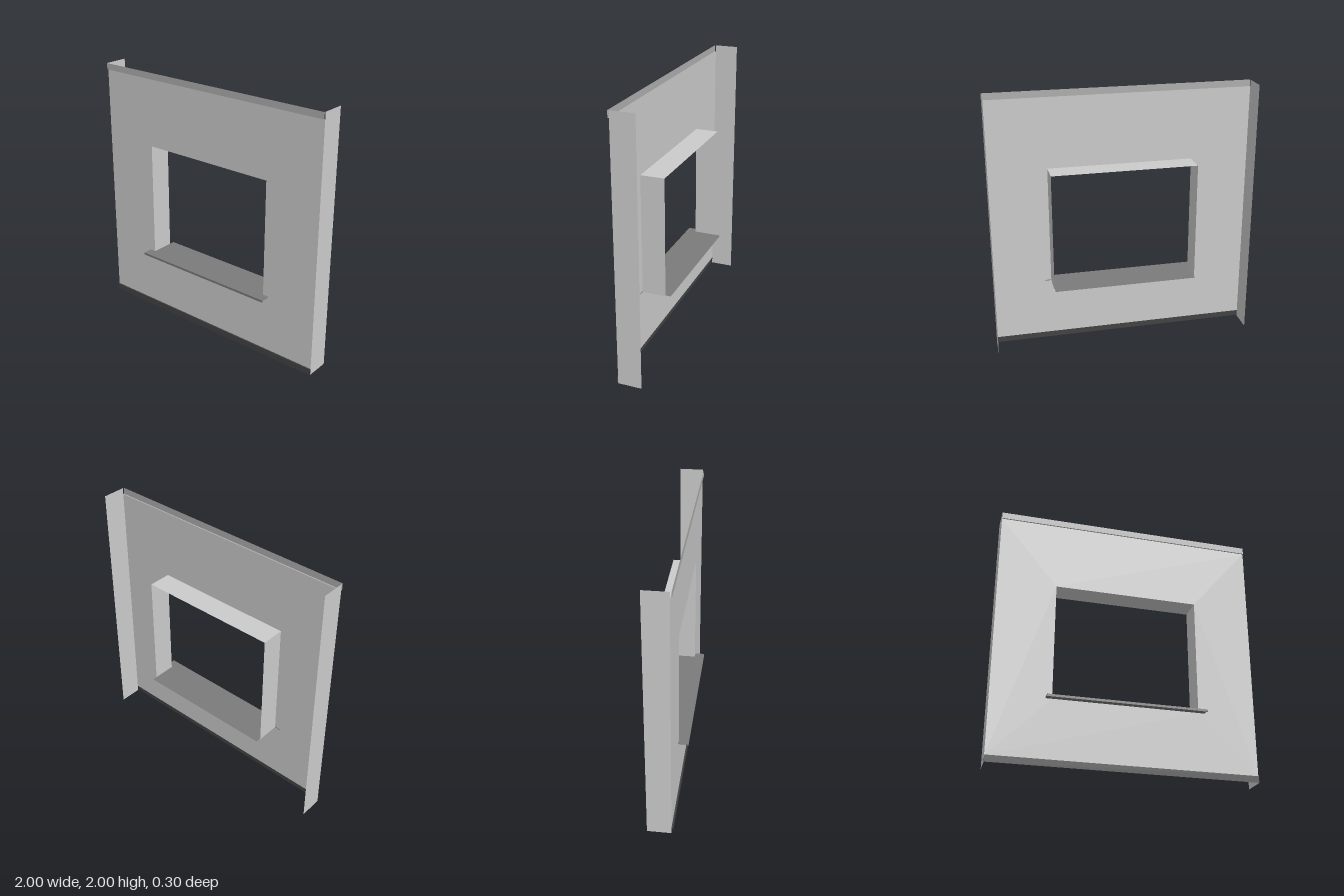
import * as THREE from 'three';

const sheetMaterial = (color) => new THREE.MeshStandardMaterial({ color, side: THREE.DoubleSide });

export function createModel() {
  const group = new THREE.Group();
  const grey = sheetMaterial(0xcccccc);
  const trim = sheetMaterial(0xaeaeae);
  const dark = sheetMaterial(0x434343);
  const sillGrey = sheetMaterial(0x7b7b7b);

  const front = 0.07, back = -0.11, bandFront = 0.08, bandHeight = 0.05;
  const half = 0.552, low = 0.503, high = 1.415;

  const add = (name, geometry, material) => {
    const mesh = new THREE.Mesh(geometry, material);
    mesh.name = name;
    group.add(mesh);
    return mesh;
  };
  // Thin sheets lying in the three main planes
  const facing = (name, x0, x1, y0, y1, z, material) =>
    add(name, new THREE.PlaneGeometry(x1 - x0, y1 - y0), material)
      .position.set((x0 + x1) / 2, (y0 + y1) / 2, z);
  const level = (name, halfWidth, y, z0, z1, material) =>
    add(name, new THREE.PlaneGeometry(2 * halfWidth, z1 - z0).rotateX(-Math.PI / 2), material)
      .position.set(0, y, (z0 + z1) / 2);
  const upright = (name, x, y0, y1, z0, z1, material) =>
    add(name, new THREE.PlaneGeometry(z1 - z0, y1 - y0).rotateY(Math.sign(x) * Math.PI / 2), material)
      .position.set(x, (y0 + y1) / 2, (z0 + z1) / 2);

  // Wall sheet with the window opening
  const wall = new THREE.Shape([[-1, bandHeight], [1, bandHeight], [1, 2 - bandHeight], [-1, 2 - bandHeight]]
    .map(([x, y]) => new THREE.Vector2(x, y)));
  wall.holes.push(new THREE.Path([[-half, low], [-half, high], [half, high], [half, low]]
    .map(([x, y]) => new THREE.Vector2(x, y))));
  add('wall', new THREE.ShapeGeometry(wall), grey).position.z = front;

  // Top and bottom bands, set slightly forward with a narrow ledge
  facing('topBand', -1, 1, 2 - bandHeight, 2, bandFront, trim);
  level('topBandLedge', 1, 2 - bandHeight, front, bandFront, trim);
  facing('baseBand', -1, 1, 0, bandHeight, bandFront, dark);
  level('baseBandLedge', 1, bandHeight, front, bandFront, dark);

  // Side returns of the wall and side linings of the opening
  for (const [side, s] of [['left', 1], ['right', -1]]) {
    upright(side + 'WallReturn', s, 0, 2, back, front, grey);
    upright(side + 'Reveal', s * half, low, high, back, front, grey);
  }
  level('topReveal', half, high, back, front, grey);
  level('bottomReveal', half, low, back, front, grey);

  // Window sill: inner board, wider nosing and a small front lip
  level('sillBoard', 0.55, 0.508, -0.15, front, sillGrey);
  add('sillNosing', new THREE.BoxGeometry(1.2, 0.006, 0.075), sillGrey)
    .position.set(0, 0.505, front + 0.0375);
  add('sillLip', new THREE.BoxGeometry(1.2, 0.018, 0.007), sillGrey)
    .position.set(0, 0.499, 0.1415);

  return group;
}
